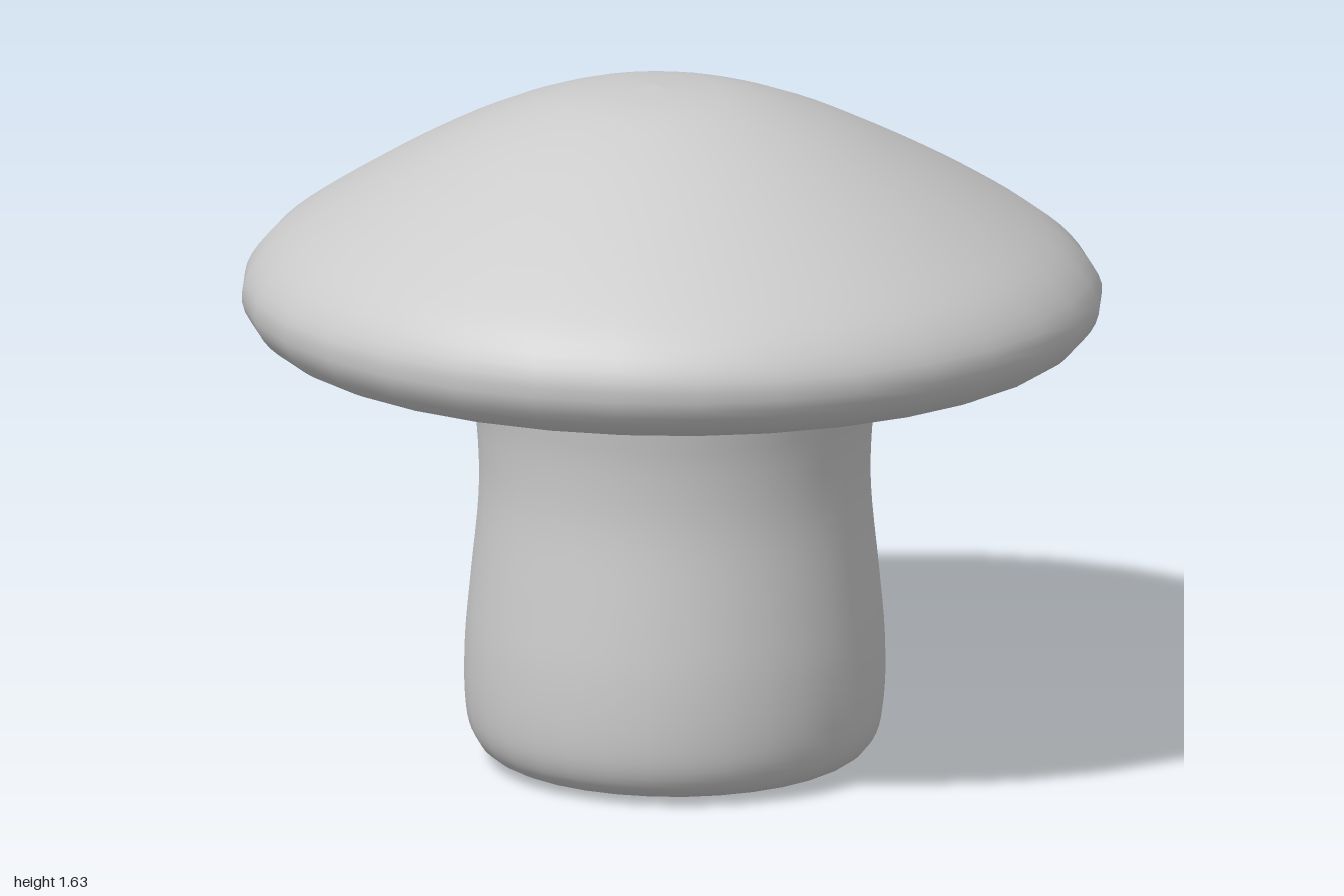
import * as THREE from 'three';

// Smooth surface of revolution through a few [radius, height] points, bottom to top
function turned(name, points, steps, material) {
  const curve = new THREE.SplineCurve(points.map(([r, y]) => new THREE.Vector2(r, y)));
  const profile = curve.getPoints(steps);
  profile.forEach((p) => { p.x = Math.max(p.x, 0); p.y = Math.max(p.y, 0); });
  const mesh = new THREE.Mesh(new THREE.LatheGeometry(profile, 32), material);
  mesh.name = name;
  return mesh;
}

// Leans the crown towards front right and tilts the whole cap slightly
function leanCap(geometry) {
  const pos = geometry.attributes.position;
  const normal = geometry.attributes.normal;
  const n = new THREE.Vector3();
  for (let i = 0; i < pos.count; i++) {
    const x = pos.getX(i), y = pos.getY(i), z = pos.getZ(i);
    const t = Math.max(0, (y - 1.12) / 0.51);
    pos.setXYZ(i, x - 0.05 * t, y - 0.01 * x + 0.02 * z, z + 0.06 * t);
    // Matching adjustment of the normals keeps the seam smooth
    n.fromBufferAttribute(normal, i);
    if (t > 0) n.y += (0.05 * n.x - 0.06 * n.z) / 0.51;
    n.x += 0.01 * n.y;
    n.z -= 0.02 * n.y;
    n.normalize();
    normal.setXYZ(i, n.x, n.y, n.z);
  }
}

export function createModel() {
  const group = new THREE.Group();
  group.name = 'mushroom';
  const material = new THREE.MeshStandardMaterial({ color: 0xcccccc });

  // Waisted stem with a rounded foot
  const stem = turned('stem', [
    [0, 0], [0.2, 0.002], [0.35, 0.006], [0.43, 0.025], [0.472, 0.075], [0.488, 0.16],
    [0.488, 0.3], [0.475, 0.45], [0.456, 0.65], [0.46, 0.8], [0.475, 0.91], [0.49, 1.01],
  ], 44, material);
  stem.position.z = 0.025;
  group.add(stem);

  // Broad domed cap with a rolled rim and nearly flat underside
  const cap = turned('cap', [
    [0, 0.99], [0.45, 0.985], [0.7, 0.975], [0.87, 0.987], [0.965, 1.035], [1, 1.12],
    [0.94, 1.22], [0.8, 1.325], [0.6, 1.445], [0.4, 1.545], [0.2, 1.611], [0, 1.63],
  ], 44, material);
  leanCap(cap.geometry);
  group.add(cap);

  return group;
}
